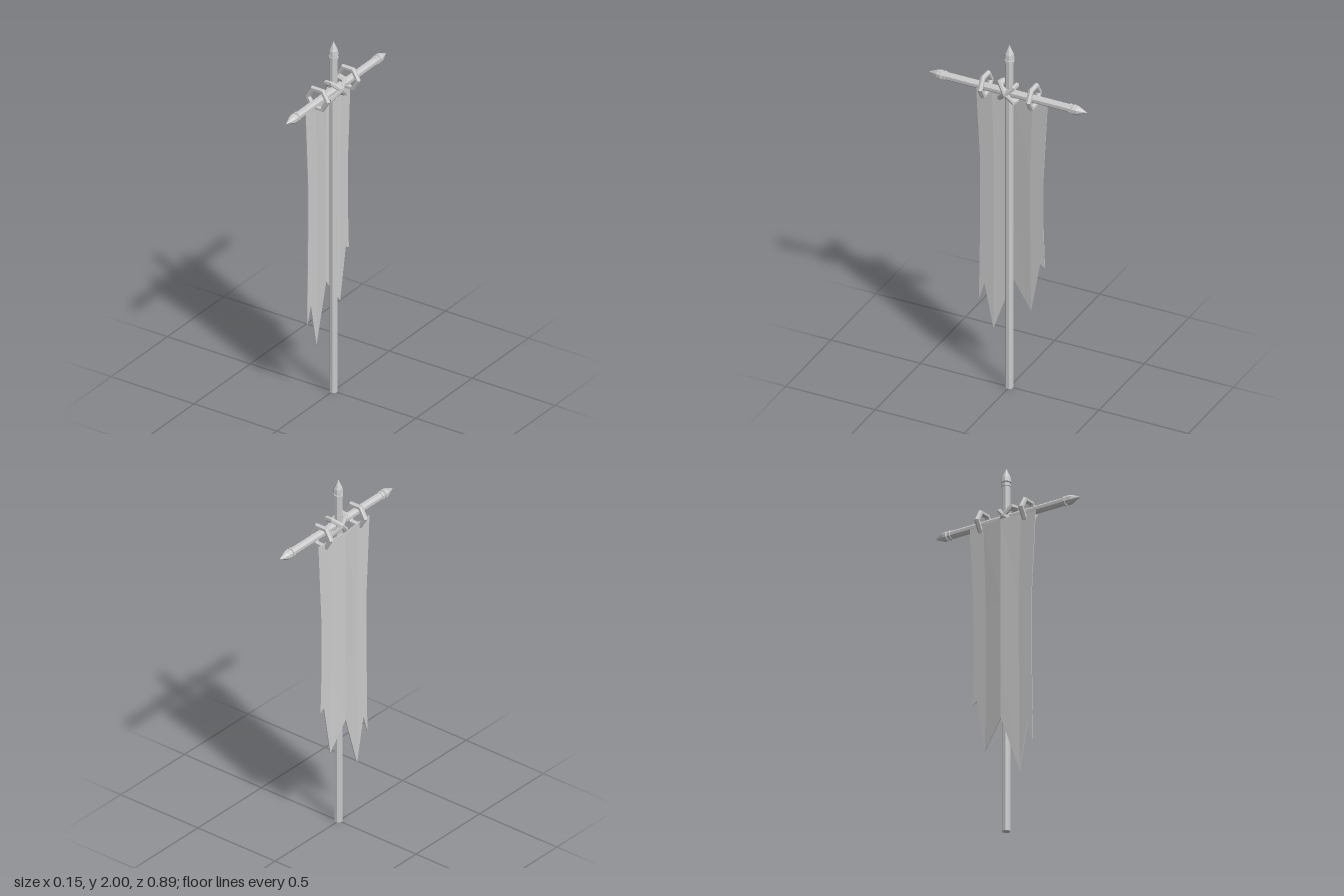
import * as THREE from 'three';

const grey = new THREE.MeshStandardMaterial({ color: 0xcccccc, flatShading: true, side: THREE.DoubleSide });

function add(parent, name, geometry) {
  const mesh = new THREE.Mesh(geometry, grey);
  mesh.name = name;
  parent.add(mesh);
  return mesh;
}

// Eight-sided solid of revolution with flats facing the axes
function lathe(points) {
  const pts = points.map(([r, y]) => new THREE.Vector2(r, y));
  return new THREE.LatheGeometry(pts, 8, Math.PI / 8);
}

// Collar, neck and pointed head; y is measured down from the tip
const finial = [[0.02, -0.102], [0.025, -0.1], [0.025, -0.087], [0.019, -0.086], [0.019, -0.08],
  [0.026, -0.077], [0.023, -0.052], [0, 0]];

function finialAt(tip) {
  return lathe(finial.map(([r, y]) => [r, y + tip]));
}

function rod(from, to) {
  return lathe([[0, from], [0.021, from], [0.021, to], [0, to]]);
}

// Thin sheet built from closed cross-section loops, folded outwards at the middle
function clothGeometry() {
  const hem = [[0.186, 0.45], [0.155, 0.55], [0.105, 0.3], [0, 0.61], [-0.105, 0.46], [-0.155, 0.745], [-0.182, 0.73]];
  const rows = [{ s: 1.09, y: 1.705 }, { s: 0.96, y: 1.25 }, { s: 0.96, y: 0.95 }, { s: 1 }];
  const n = hem.length, pos = [], idx = [];
  const foldX = z => -0.043 + 0.013 * Math.min(1, Math.abs(z) / 0.1);
  for (const { s, y } of rows) {
    for (const side of [0, 1]) {
      for (let i = 0; i < n; i++) {
        const [z, low] = hem[side ? n - 1 - i : i];
        pos.push(foldX(z) + (side ? 0.002 : -0.002), y ?? low, z * s);
      }
    }
  }
  const loop = 2 * n;
  for (let r = 0; r < rows.length - 1; r++) {
    for (let i = 0; i < loop; i++) {
      const a = r * loop + i, b = r * loop + (i + 1) % loop;
      idx.push(a, a + loop, b, b, a + loop, b + loop);
    }
  }
  // Close the top edge and the ragged hem
  for (const r of [0, rows.length - 1]) {
    for (let i = 0; i < n - 1; i++) {
      const a = r * loop + i, b = a + 1, c = r * loop + loop - 1 - i, d = c - 1;
      if (r === 0) idx.push(a, b, c, b, d, c);
      else idx.push(a, c, b, b, c, d);
    }
  }
  const g = new THREE.BufferGeometry();
  g.setAttribute('position', new THREE.Float32BufferAttribute(pos, 3));
  g.setIndex(idx);
  g.computeVertexNormals();
  return g;
}

export function createModel() {
  const model = new THREE.Group();
  model.name = 'hangingBanner';

  // Upright pole
  const pole = new THREE.Group();
  pole.name = 'pole';
  pole.position.x = 0.003;
  add(pole, 'poleShaft', rod(0, 1.915));
  add(pole, 'poleFinial', finialAt(2));
  model.add(pole);

  // Crossbar along z, with a finial at both ends
  const bar = new THREE.Group();
  bar.name = 'crossbar';
  bar.position.set(0.018, 1.732, 0);
  bar.rotation.x = Math.PI / 2;
  add(bar, 'crossbarShaft', rod(-0.36, 0.36));
  for (const end of [0, Math.PI]) {
    add(bar, 'crossbarFinial', finialAt(0.444)).rotation.x = end;
  }
  model.add(bar);

  // Hexagonal rings that carry the cloth
  for (const side of [-1, 1]) {
    add(model, 'hangingRing', new THREE.TorusGeometry(0.0595, 0.0145, 6, 6))
      .position.set(0, 1.73, side * 0.135);
  }

  // Two crossed bands lashing the bar to the pole
  for (const side of [-1, 1]) {
    const band = new THREE.TorusGeometry(0.04, 0.012, 6, 6);
    band.scale(0.92, 1.65, 1.1);
    band.rotateZ(side * 0.17);
    band.rotateX(side * Math.PI / 4);
    add(model, 'lashing', band).position.set(0.015, 1.735, 0);
  }

  // Torn cloth
  add(model, 'cloth', clothGeometry());
  return model;
}
